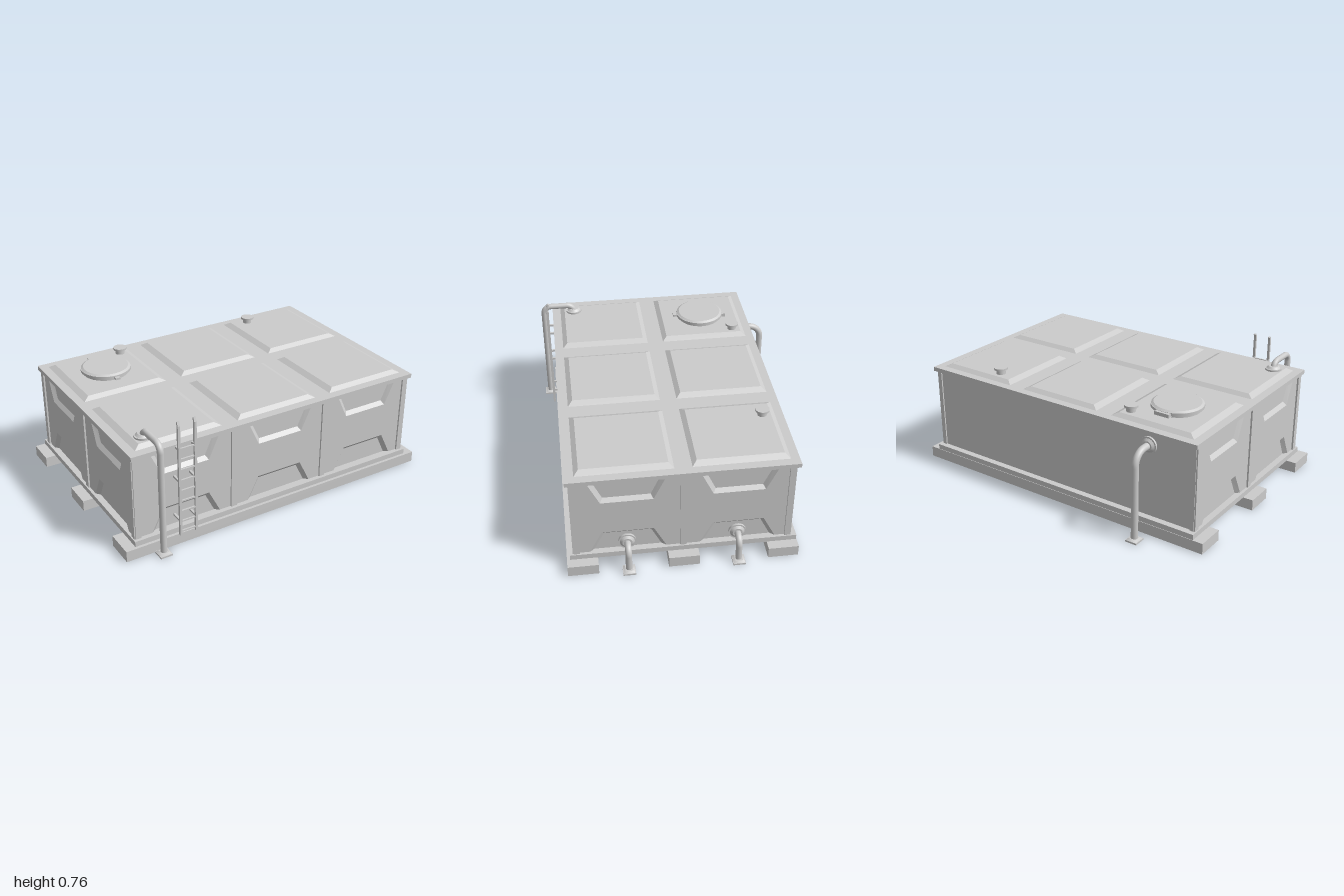
import * as THREE from 'three';

const mat = new THREE.MeshStandardMaterial({ color: 0xcccccc });
const V = (x, y, z) => new THREE.Vector3(x, y, z);
const CX = -0.017, CZ = 0.02; // tank centre
const HX = 0.905, HZ = 0.598; // half size of the tank walls
const Y0 = 0.095, Y1 = 0.585; // wall bottom and top
const DEPTH = 0.02;

export function createModel() {
  const root = new THREE.Group();

  const add = (name, geo, x = 0, y = 0, z = 0, parent = root) => {
    const m = new THREE.Mesh(geo, mat);
    m.name = name;
    m.position.set(x, y, z);
    parent.add(m);
    return m;
  };
  // box given by its limits
  const box = (name, x0, x1, y0, y1, z0, z1, parent = root) =>
    add(name, new THREE.BoxGeometry(x1 - x0, y1 - y0, z1 - z0), (x0 + x1) / 2, (y0 + y1) / 2, (z0 + z1) / 2, parent);
  // disc centred at p, its axis along dir, r1 at the far end
  const disc = (name, p, dir, r0, r1, h) => {
    const m = add(name, new THREE.CylinderGeometry(r1, r0, h, 32), p.x, p.y, p.z);
    m.quaternion.setFromUnitVectors(V(0, 1, 0), dir);
    return m;
  };

  // support beams, base plate, tank core and roof rim
  for (const z of [-0.533, 0.022, 0.577]) box('supportBeam', -1, 0.963, 0, 0.064, z - 0.085, z + 0.085);
  box('basePlate', CX - 0.922, CX + 0.922, 0.063, Y0, -0.615, 0.645);
  box('tankCore', CX - HX + DEPTH, CX + HX - DEPTH, Y0, Y1, CZ - HZ, CZ + HZ - DEPTH);
  box('roofRim', CX - 0.922, CX + 0.922, Y1, 0.61, CZ - 0.625, CZ + 0.625);

  // wall facing +z with sloped trapezoid recesses open to its top and bottom edges
  const wall = (name, half, centres, posts) => {
    const g = new THREE.Group();
    g.name = name;
    const wide = 0.21, narrow = 0.142, inset = 0.022;
    const notch = (c, lower, d) => {
      const yE = lower ? Y0 : Y1, yI = lower ? 0.23 - d : 0.44 + d, s = lower ? 1 : -1;
      const w = wide - d * 1.15, n = narrow - d * 0.6;
      return [[c + s * w, yE], [c + s * n, yI], [c - s * n, yI], [c - s * w, yE]];
    };
    const pts = [[-half, Y0]];
    for (const c of centres) pts.push(...notch(c, true, 0).reverse());
    pts.push([half, Y0], [half, Y1]);
    for (const c of [...centres].reverse()) pts.push(...notch(c, false, 0).reverse());
    pts.push([-half, Y1]);
    add('wallFace', new THREE.ShapeGeometry(new THREE.Shape(pts.map(p => new THREE.Vector2(...p)))), 0, 0, 0, g);

    const pos = [];
    for (const c of centres) for (const lower of [true, false]) {
      const o = notch(c, lower, 0), n = notch(c, lower, inset);
      for (let i = 0; i < 3; i++) {
        const a = [...o[i], 0], b = [...o[i + 1], 0], e = [...n[i + 1], -DEPTH], f = [...n[i], -DEPTH];
        pos.push(...a, ...b, ...e, ...a, ...e, ...f);
      }
    }
    const slopes = new THREE.BufferGeometry();
    slopes.setAttribute('position', new THREE.Float32BufferAttribute(pos, 3));
    slopes.computeVertexNormals();
    add('recessSlopes', slopes, 0, 0, 0, g);
    for (const x of [-half + 0.013, ...posts, half - 0.013])
      box('wallPost', x - 0.017, x + 0.017, Y0, Y1, -DEPTH, 0.01, g);
    root.add(g);
    return g;
  };
  wall('frontWall', HX, [-0.595, 0.008, 0.611], [-0.298, 0.307]).position.set(CX, 0, CZ + HZ);
  for (const s of [-1, 1]) {
    const w = wall('sideWall', HZ, [-0.303, 0.303], [0]);
    w.position.set(CX + s * HX, 0, CZ);
    w.rotation.y = s * Math.PI / 2;
  }
  // closed edges behind the side walls at the plain back
  for (const s of [-1, 1]) {
    const x = CX + s * (HX - DEPTH / 2);
    box('backCornerPost', x - 0.012, x + 0.012, Y0, Y1, CZ - HZ - 0.008, CZ - HZ + 0.02);
  }

  // raised roof panels with sloped borders
  for (const x of [-0.632, -0.017, 0.598]) for (const z of [-0.293, 0.33]) {
    const geo = new THREE.BoxGeometry(0.515, 0.018, 0.527).toNonIndexed();
    const p = geo.attributes.position;
    for (let i = 0; i < p.count; i++) if (p.getY(i) > 0) {
      p.setX(i, p.getX(i) - Math.sign(p.getX(i)) * 0.035);
      p.setZ(i, p.getZ(i) - Math.sign(p.getZ(i)) * 0.027);
    }
    geo.computeVertexNormals();
    add('roofPanel', geo, x, 0.619, z);
  }

  // manhole with lid, hinge and latch
  const up = V(0, 1, 0);
  disc('manholeNeck', V(-0.632, 0.636, -0.298), up, 0.135, 0.135, 0.022);
  disc('manholeLid', V(-0.632, 0.65, -0.298), up, 0.148, 0.148, 0.016);
  disc('manholeLidTop', V(-0.632, 0.662, -0.298), up, 0.145, 0.132, 0.008);
  box('manholeHinge', -0.677, -0.587, 0.636, 0.656, -0.462, -0.43);
  box('manholeLatch', -0.647, -0.617, 0.64, 0.652, -0.165, -0.128);

  // roof vents
  for (const x of [-0.452, 0.474]) {
    disc('ventNeck', V(x, 0.64, -0.48), up, 0.027, 0.027, 0.035);
    disc('ventCap', V(x, 0.661, -0.48), up, 0.04, 0.04, 0.012);
  }

  // pipe through corner points with rounded bends
  const pipe = (name, pts, r, bend) => {
    const path = new THREE.CurvePath();
    let from = pts[0];
    for (let i = 1; i < pts.length; i++) {
      if (i === pts.length - 1) { path.add(new THREE.LineCurve3(from, pts[i])); break; }
      const a = pts[i].clone().add(pts[i - 1].clone().sub(pts[i]).setLength(bend));
      const b = pts[i].clone().add(pts[i + 1].clone().sub(pts[i]).setLength(bend));
      path.add(new THREE.LineCurve3(from, a));
      // cubic close to a quarter circle
      path.add(new THREE.CubicBezierCurve3(a, a.clone().lerp(pts[i], 0.55), b.clone().lerp(pts[i], 0.55), b));
      from = b;
    }
    add(name, new THREE.TubeGeometry(path, 90, r, 16), 0, 0, 0);
  };
  const foot = (x, z) => {
    box('pipeFoot', x - 0.035, x + 0.035, 0, 0.01, z - 0.035, z + 0.035);
    const m = add('pipeFootCollar', new THREE.CylinderGeometry(0.03, 0.046, 0.009, 4), x, 0.0145, z);
    m.rotation.y = Math.PI / 4;
  };
  const flange = (p, dir) => {
    disc('pipeFlange', p.clone().addScaledVector(dir, 0.006), dir, 0.049, 0.049, 0.012);
    disc('pipeCollar', p.clone().addScaledVector(dir, 0.017), dir, 0.042, 0.028, 0.012);
  };

  // two side drains
  for (const z of [-0.28, 0.328]) {
    const start = V(CX + HX - DEPTH, 0.155, z);
    flange(V(CX + HX - 0.004, 0.155, z), V(1, 0, 0));
    pipe('drainPipe', [start, V(0.962, 0.155, z), V(0.962, 0.005, z)], 0.018, 0.045);
    foot(0.965, z);
  }
  // back overflow
  flange(V(-0.635, 0.518, CZ - HZ), V(0, 0, -1));
  pipe('overflowPipe', [V(-0.635, 0.518, -0.57), V(-0.635, 0.518, -0.709), V(-0.635, 0.005, -0.709)], 0.02, 0.075);
  foot(-0.635, -0.71);
  // front filling pipe over the roof edge
  flange(V(-0.8, 0.626, 0.506), up);
  pipe('fillingPipe', [V(-0.8, 0.62, 0.506), V(-0.8, 0.67, 0.506), V(-0.8, 0.67, 0.7), V(-0.8, 0.005, 0.7)], 0.018, 0.045);
  foot(-0.8, 0.7);

  // ladder with brackets to the wall
  for (const x of [-0.682, -0.586]) {
    box('ladderRail', x - 0.007, x + 0.007, 0.065, 0.735, 0.67, 0.684);
    const tip = box('ladderRailTip', x - 0.007, x + 0.007, 0.73, 0.757, 0.668, 0.68);
    tip.rotation.x = -0.3;
    for (const y of [0.16, 0.405, 0.598]) box('ladderBracket', x - 0.006, x + 0.006, y - 0.006, y + 0.006, 0.61, 0.675);
  }
  for (let i = 0; i < 9; i++) {
    const y = 0.09 + i * 0.0635;
    box('ladderRung', -0.682, -0.586, y - 0.004, y + 0.004, 0.672, 0.682);
  }
  return root;
}
